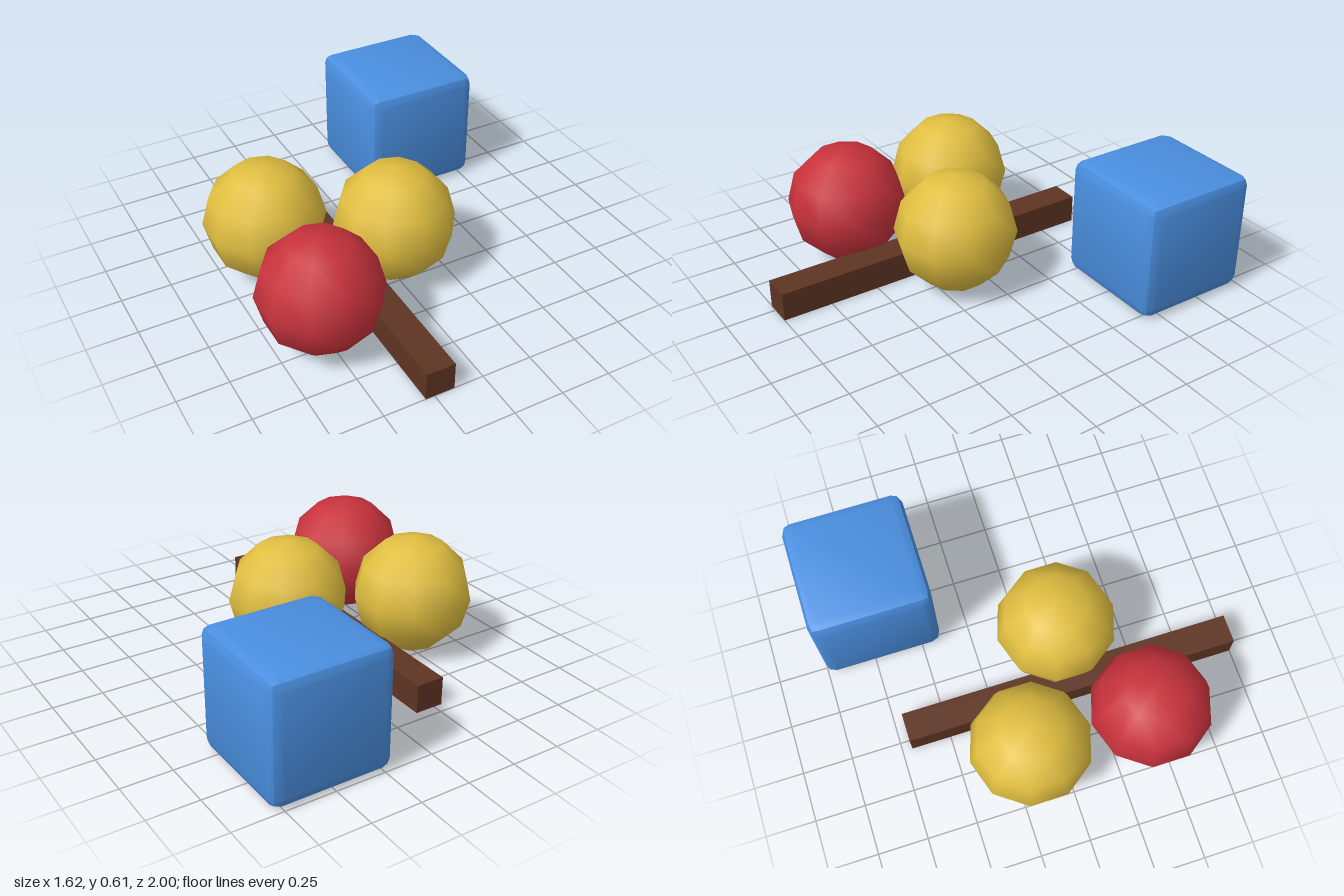
import * as THREE from 'three';
import { toCreasedNormals } from 'three/addons/utils/BufferGeometryUtils.js';
import { RoundedBoxGeometry } from 'three/addons/geometries/RoundedBoxGeometry.js';

function material(name, color) {
  const m = new THREE.MeshStandardMaterial({ color });
  m.name = name;
  return m;
}

export function createModel() {
  const group = new THREE.Group();
  group.name = 'toyBlocks';

  const red = material('red', 0xc8323c);
  const yellow = material('yellow', 0xe0be40);
  const blue = material('blue', 0x4a8fe0);
  const brown = material('brown', 0x5e3423);

  function add(name, geometry, mat, x, y, z) {
    const mesh = new THREE.Mesh(geometry, mat);
    mesh.name = name;
    mesh.position.set(x, y, z);
    group.add(mesh);
  }

  // Ten-sided balls with a vertex pointing along z
  const ball = new THREE.SphereGeometry(0.3, 10, 6).rotateY(Math.PI / 2);
  add('redBall', ball, red, -0.524, 0.304, 0.452);
  add('backYellowBall', ball, yellow, -0.524, 0.304, -0.154);
  add('frontYellowBall', ball, yellow, 0.02, 0.304, 0.151);

  // Cube with softened edges, creased along the middle of each bevel
  const cube = toCreasedNormals(new RoundedBoxGeometry(0.602, 0.602, 0.602, 1, 0.05), Math.PI / 6);
  add('cube', cube, blue, 0.505, 0.304, -0.699);

  // Square beam lying on the ground
  add('beam', new THREE.BoxGeometry(0.145, 0.145, 1.7), brown, -0.221, 0.0725, 0.15);

  return group;
}
